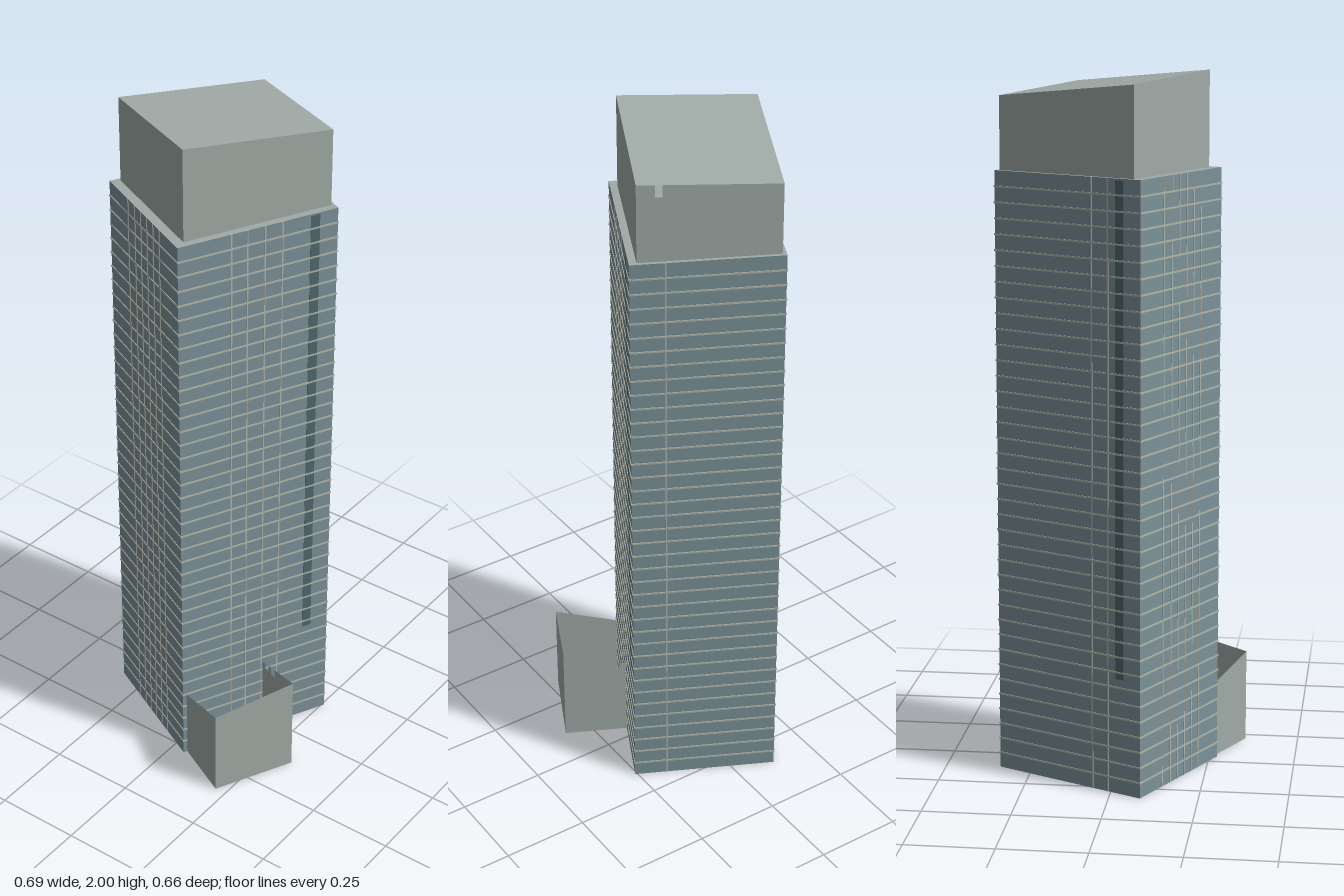
import * as THREE from 'three';

const mat = (name, color, extra = {}) => {
  const m = new THREE.MeshStandardMaterial({ color, ...extra });
  m.name = name;
  return m;
};

export function createModel() {
  const glass = mat('blue grey glass', 0x7b9299);
  const concrete = mat('pale concrete', 0xa0aaa6, { side: THREE.DoubleSide });
  const trim = mat('light trim', 0xb0b4a8);
  const dark = mat('dark glass', 0x4f686c);

  const model = new THREE.Group();
  model.name = 'officeTower';
  // The whole plan is turned on the site
  const site = new THREE.Group();
  site.name = 'building';
  site.position.set(0.035, 0, -0.037);
  site.rotation.y = -0.46;
  model.add(site);

  const W = 0.48, D = 0.417, H = 1.73, FLOORS = 39;
  const add = (parent, name, geo, material, x = 0, y = 0, z = 0) => {
    const mesh = new THREE.Mesh(geo, material);
    mesh.name = name;
    mesh.position.set(x, y, z);
    parent.add(mesh);
    return mesh;
  };

  // Main shaft, with concrete roof ledge and underside
  add(site, 'towerShaft', new THREE.BoxGeometry(W, H, D),
    [glass, glass, concrete, concrete, glass, glass], 0, H / 2, 0);

  // Floor lines wrapping the shaft
  const band = new THREE.BoxGeometry(W + 0.004, 0.005, D + 0.004);
  for (let i = 1; i < FLOORS; i++) add(site, 'floorLine', band, trim, 0, i * H / FLOORS, 0);

  // Facade strips: fractions run left to right seen from outside
  const facade = (name, width, dist, angle, lines, stripe) => {
    const g = new THREE.Group();
    g.name = name;
    g.rotation.y = angle;
    site.add(g);
    for (const f of lines) {
      add(g, 'mullion', new THREE.BoxGeometry(0.004, H, 0.003), trim, (f - 0.5) * width, H / 2, dist);
    }
    if (stripe) {
      add(g, 'darkWindowStripe', new THREE.BoxGeometry(0.028, 1.39, 0.002), dark,
        (stripe - 0.5) * width, 0.335 + 1.39 / 2, dist);
    }
  };
  facade('frontFacade', W, D / 2, 0, [0.33, 0.43, 0.54, 0.65], 0.855);
  facade('leftFacade', D, W / 2, Math.PI / 2, [0.23], 0);
  facade('backFacade', W, D / 2, Math.PI, [0.67, 0.78], 0.86);
  facade('rightFacade', D, W / 2, -Math.PI / 2, [0.28, 0.38, 0.47, 0.56, 0.65, 0.74], 0);

  // Thin upright sheet from plan point p to q with a sloping, notched top
  const wall = (parent, name, p, q, y0, hp, hq, notches = []) => {
    const dx = q[0] - p[0], dz = q[1] - p[1], len = Math.hypot(dx, dz);
    const top = f => hp + (hq - hp) * f;
    const s = new THREE.Shape();
    s.moveTo(0, y0);
    s.lineTo(len, y0);
    s.lineTo(len, hq);
    for (const [a, b, depth] of [...notches].reverse()) {
      s.lineTo(b * len, top(b));
      s.lineTo(b * len, top(b) - depth);
      s.lineTo(a * len, top(a) - depth);
      s.lineTo(a * len, top(a));
    }
    s.lineTo(0, hp);
    const mesh = add(parent, name, new THREE.ShapeGeometry(s), concrete, p[0], 0, p[1]);
    mesh.rotation.y = Math.atan2(-dz, dx);
  };

  // Flat quad through four corners, counter-clockwise from above
  const sheet = (parent, name, pts) => {
    const geo = new THREE.BufferGeometry();
    geo.setAttribute('position', new THREE.Float32BufferAttribute(pts.flat(), 3));
    geo.setIndex([0, 1, 2, 0, 2, 3]);
    geo.computeVertexNormals();
    add(parent, name, geo, concrete);
  };

  // Corner order: front -x, front +x, back +x, back -x
  const corners = (x0, x1, z0, z1) => [[x0, z1], [x1, z1], [x1, z0], [x0, z0]];

  // Rooftop plant room with a tilted roof
  const crown = new THREE.Group();
  crown.name = 'crown';
  site.add(crown);
  const c = corners(-0.212, 0.23, -0.1975, 0.1875);
  const ch = [2.0, 1.955, 1.935, 1.98];
  const names = ['frontWall', 'leftWall', 'backWall', 'rightWall'];
  names.forEach((n, i) => {
    const j = (i + 1) % 4;
    wall(crown, n, c[i], c[j], H, ch[i], ch[j], i === 1 ? [[0.13, 0.18, 0.035]] : []);
  });
  sheet(crown, 'slopedRoof', c.map(([x, z], i) => [x, ch[i], z]));

  // Open-topped annex against the front of the shaft
  const annex = new THREE.Group();
  annex.name = 'annex';
  site.add(annex);
  const a = corners(-0.228, 0.025, D / 2, 0.3955);
  const ah = [0.272, 0.303, 0.25, 0.22];
  wall(annex, 'frontWall', a[0], a[1], 0, ah[0], ah[1]);
  wall(annex, 'leftWall', a[1], a[2], 0, ah[1], ah[2], [[0.6, 0.72, 0.025], [0.8, 0.9, 0.02]]);
  wall(annex, 'rightWall', a[3], a[0], 0, ah[3], ah[0]);
  sheet(annex, 'floor', a.map(([x, z]) => [x, 0, z]));

  return model;
}
